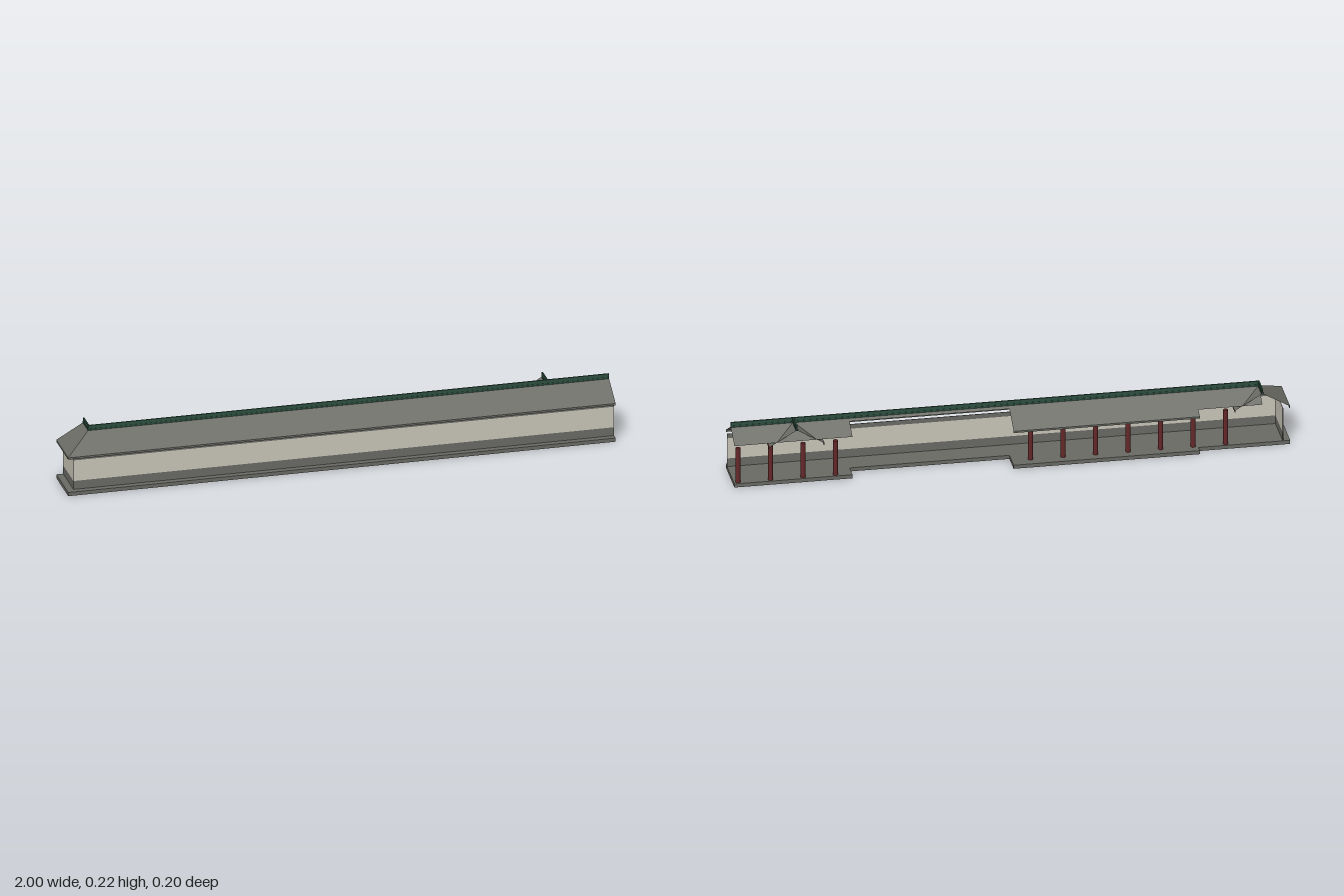
import * as THREE from 'three';

const stone = new THREE.MeshStandardMaterial({ color: 0x6b6b65, side: THREE.DoubleSide });
stone.name = 'greyTileAndStone';
const plaster = new THREE.MeshStandardMaterial({ color: 0xcbc7ba });
plaster.name = 'palePlaster';
const wood = new THREE.MeshStandardMaterial({ color: 0x662829 });
wood.name = 'darkRedWood';
const glaze = new THREE.MeshStandardMaterial({ color: 0x2e5041 });
glaze.name = 'greenGlaze';

const FRONT = 0.098, CUT = -0.072, EAVE = 0.147, RIDGE = 0.205, HALF = 0.098;
const CORNER = -0.9, JUNCTION = 0.775; // x of the two ridges that branch to the back

// Corridor sections along x, with the z of their back edge
const sections = [
  { x0: -1, x1: -0.67, back: CUT },
  { x0: -0.67, x1: 0, back: -0.098 },
  { x0: 0, x1: 0.575, back: -0.015 },
  { x0: 0.575, x1: 1, back: CUT },
];

// Height of a roof slope at a distance from its ridge
const slopeY = (d) => RIDGE - (RIDGE - EAVE) * d / HALF;

export function createModel() {
  const model = new THREE.Group();
  model.name = 'coveredCorridor';

  const add = (name, geometry, material) => {
    const mesh = new THREE.Mesh(geometry, material);
    mesh.name = name;
    model.add(mesh);
    return mesh;
  };

  // Box given by its limits on each axis
  const box = (name, material, x0, x1, y0, y1, z0, z1) =>
    add(name, new THREE.BoxGeometry(x1 - x0, y1 - y0, z1 - z0), material)
      .position.set((x0 + x1) / 2, (y0 + y1) / 2, (z0 + z1) / 2);

  // Flat four-cornered roof sheet, corners counter-clockwise from above
  const sheet = (name, a, b, c, d) => {
    const g = new THREE.BufferGeometry();
    g.setAttribute('position', new THREE.Float32BufferAttribute([a, b, c, a, c, d].flat(), 3));
    g.computeVertexNormals();
    add(name, g, stone);
  };

  // Floor and back roof slope of every section
  for (const { x0, x1, back } of sections) {
    box('floor', stone, x0, x1, 0, 0.014, back, FRONT);
    const s = Math.max(x0, CORNER), y = slopeY(-back);
    sheet('backRoof', [x1, y, back], [s, y, back], [s, RIDGE, 0], [x1, RIDGE, 0]);
  }
  box('backEave', stone, -0.67, 0, 0.14, EAVE, -0.098, -0.095);

  // Front slope and hipped end slope
  sheet('frontRoof', [-1, EAVE, FRONT], [1, EAVE, FRONT], [1, RIDGE, 0], [CORNER, RIDGE, 0]);
  sheet('endRoof', [-1, EAVE, CUT], [-1, EAVE, FRONT], [CORNER, RIDGE, 0], [CORNER, RIDGE, CUT]);
  box('frontEave', stone, -1, 1, 0.14, EAVE, FRONT - 0.003, FRONT);
  box('endEave', stone, -1, -0.997, 0.14, EAVE, CUT, FRONT - 0.003);

  // Slopes of the branching roofs, which cut into the back slope
  for (const [x, side] of [[CORNER, 1], [JUNCTION, 1], [JUNCTION, -1]]) {
    const e = x + side * HALF;
    const corners = [[e, EAVE, 0], [e, EAVE, CUT], [x, RIDGE, CUT], [x, RIDGE, 0]];
    sheet('branchRoof', ...(side > 0 ? corners : corners.reverse()));
    box('branchEave', stone, e - 0.0015, e + 0.0015, 0.14, EAVE, CUT, 0);
  }

  // Green ridges: a narrow cap on a slightly wider foot
  for (const [w, y0, y1] of [[0.007, 0.202, 0.209], [0.005, 0.209, 0.222]]) {
    const h = w / 2;
    box('mainRidge', glaze, CORNER - h, 1, y0, y1, -h, h);
    for (const x of [CORNER, JUNCTION]) {
      box('branchRidge', glaze, x - h, x + h, y0, y1, CUT, -h);
    }
  }

  // Front wall in three bands, and end wall in two
  for (const [name, material, y0, y1] of [
    ['wallBase', stone, 0.014, 0.046],
    ['wallPanel', plaster, 0.046, 0.125],
    ['wallFrieze', stone, 0.125, 0.142],
  ]) {
    box(name, material, -0.975, 1, y0, y1, 0.073, 0.075);
  }
  box('endWallBase', stone, -0.975, -0.973, 0.014, 0.046, CUT, 0.073);
  box('endWallPanel', plaster, -0.975, -0.973, 0.046, 0.142, CUT, 0.073);

  // Evenly spaced columns, left out where the back is open
  const columnShape = new THREE.CylinderGeometry(0.009, 0.009, 0.135, 10);
  for (let k = 0; k < 16; k++) {
    if (k > 3 && k < 9) continue;
    add('column', columnShape, wood).position.set(0.985 - 0.117 * k, 0.0805, -0.059);
  }

  return model;
}
